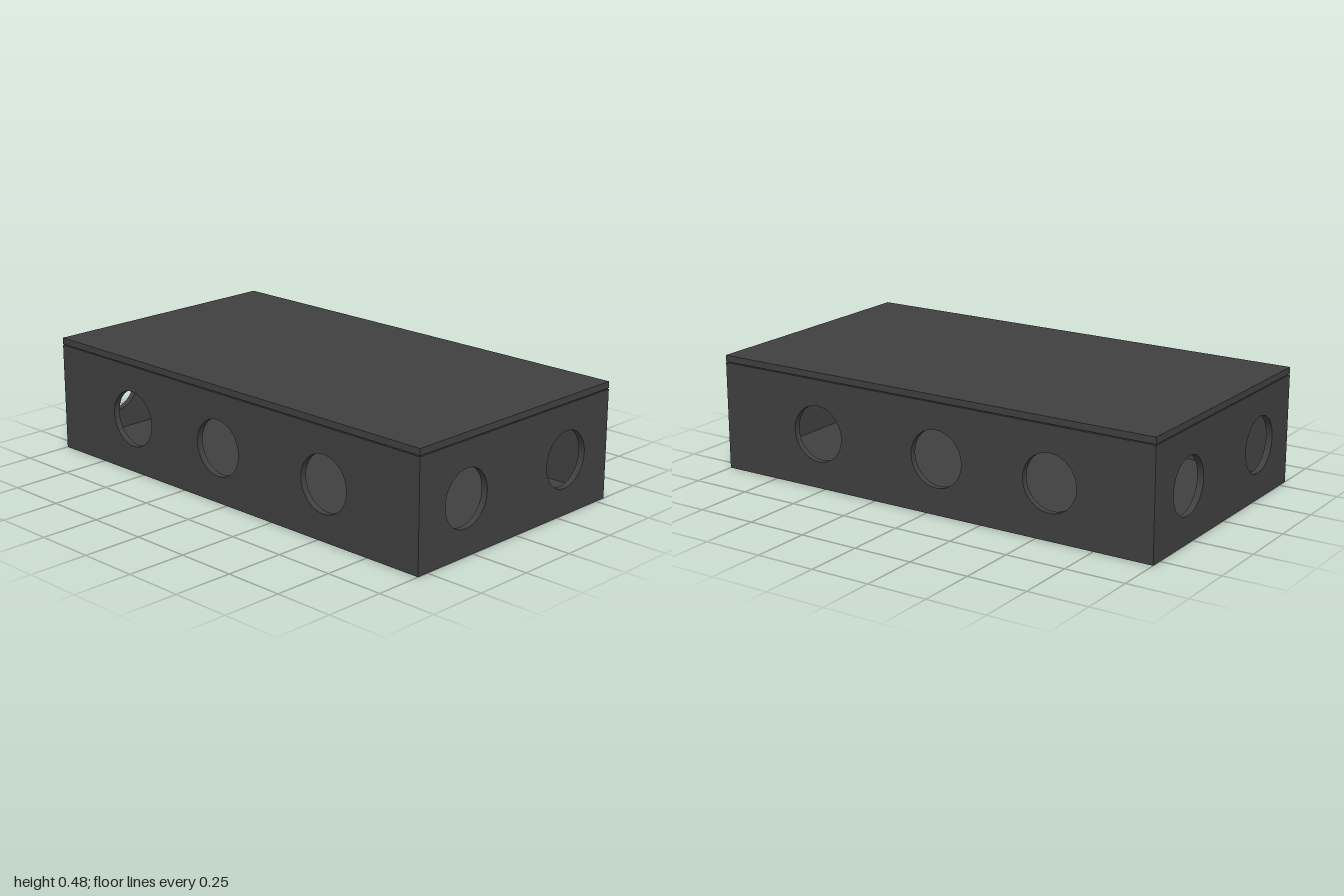
import * as THREE from 'three';

const L = 2, D = 1.1;          // outer length and depth
const T = 0.027;               // sheet thickness
const BODY_TOP = 0.453, LID_BOTTOM = 0.457;
const HOLE_Y = 0.228, HOLE_R = 0.117;

export function createModel() {
  const group = new THREE.Group();
  const material = new THREE.MeshStandardMaterial({ color: 0x404040 });

  function add(name, geometry) {
    const mesh = new THREE.Mesh(geometry, material);
    mesh.name = name;
    group.add(mesh);
    return mesh;
  }

  // Upright panel with round knockouts, centred on its own thickness
  function wall(name, width, holes) {
    const h = width / 2;
    const shape = new THREE.Shape([
      new THREE.Vector2(-h, T), new THREE.Vector2(h, T),
      new THREE.Vector2(h, BODY_TOP), new THREE.Vector2(-h, BODY_TOP),
    ]);
    for (const u of holes) {
      shape.holes.push(new THREE.Path().absarc(u, HOLE_Y, HOLE_R, 0, Math.PI * 2, true));
    }
    const geometry = new THREE.ExtrudeGeometry(shape, { depth: T, bevelEnabled: false, curveSegments: 32 });
    return add(name, geometry.translate(0, 0, -T / 2));
  }

  // Floor and lid, the lid separated from the body by a thin gap
  add('floor', new THREE.BoxGeometry(L, T, D)).position.y = T / 2;
  add('lid', new THREE.BoxGeometry(L, T, D)).position.y = LID_BOTTOM + T / 2;

  // Long walls with three holes, short walls with two
  for (const s of [1, -1]) {
    wall(s > 0 ? 'frontWall' : 'backWall', L, [-0.558, -0.047, 0.529])
      .position.z = s * (D - T) / 2;
    const side = wall(s > 0 ? 'leftWall' : 'rightWall', D - 2 * T, [-0.292, 0.292]);
    side.rotation.y = Math.PI / 2;
    side.position.x = s * (L - T) / 2;
  }
  return group;
}
